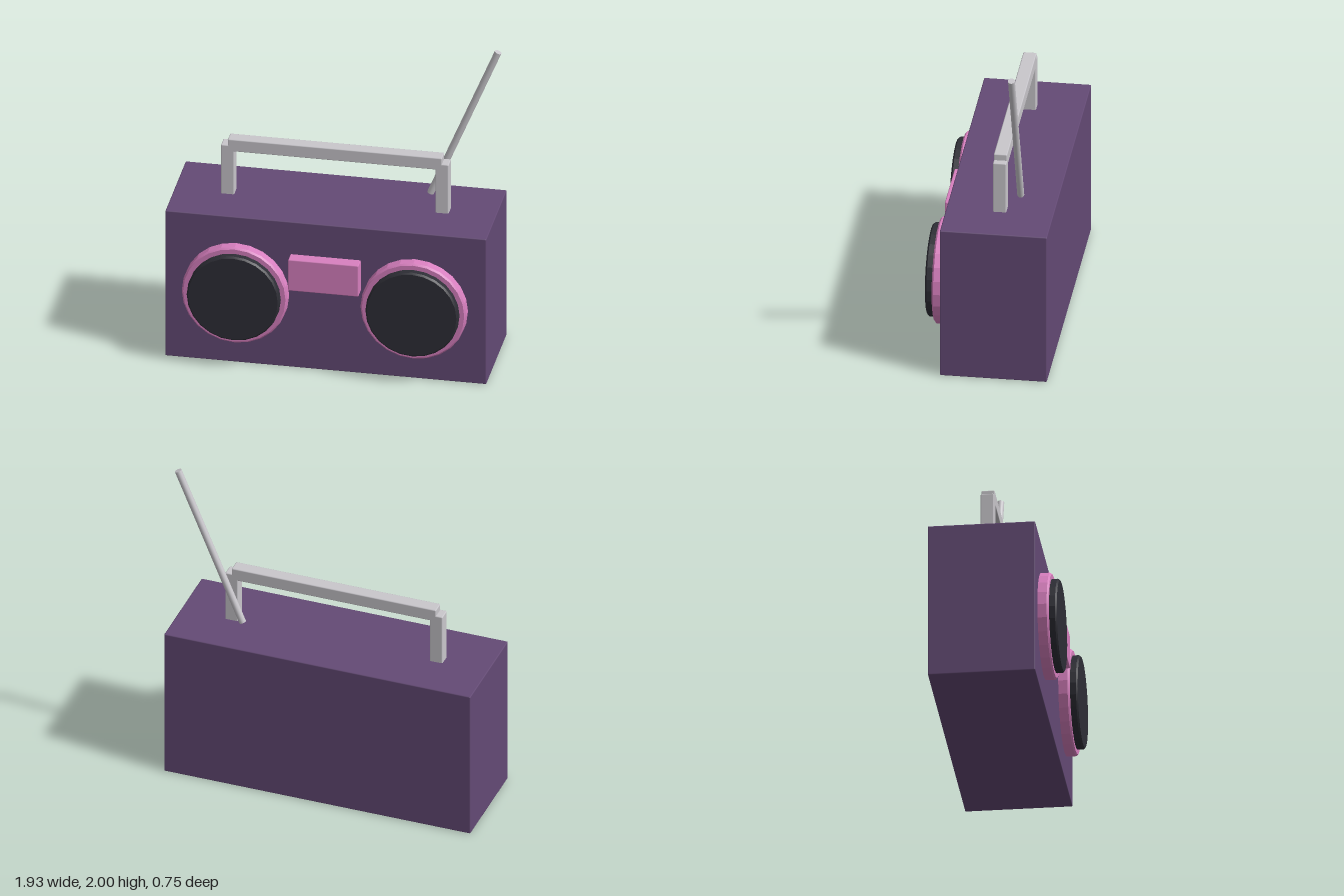
import * as THREE from 'three';
import { toCreasedNormals } from 'three/addons/utils/BufferGeometryUtils.js';
import { RoundedBoxGeometry } from 'three/addons/geometries/RoundedBoxGeometry.js';

const material = (name, color) => {
  const m = new THREE.MeshStandardMaterial({ color });
  m.name = name;
  return m;
};

export function createModel() {
  const purple = material('purple casing', 0x644a75);
  const pink = material('pink trim', 0xd980c0);
  const black = material('black speaker cone', 0x2e2e36);
  const grey = material('grey metal', 0xc9c7cc);

  const model = new THREE.Group();
  model.name = 'radio';

  const add = (name, geometry, mat, parent = model) => {
    const mesh = new THREE.Mesh(geometry, mat);
    mesh.name = name;
    parent.add(mesh);
    return mesh;
  };

  // Softened box given by its min and max corners
  const box = (name, [x0, y0, z0], [x1, y1, z1], mat, parent) => {
    const g = new RoundedBoxGeometry(x1 - x0, y1 - y0, z1 - z0, 1, 0.007);
    g.translate((x0 + x1) / 2, (y0 + y1) / 2, (z0 + z1) / 2);
    return add(name, g, mat, parent);
  };

  // Disc with a chamfered rim, facing +z
  const disc = (name, radius, z0, z1, mat, parent) => {
    const c = 0.01;
    const profile = [[0, z0], [radius - c, z0], [radius, z0 + c],
      [radius, z1 - c], [radius - c, z1], [0, z1]].map(p => new THREE.Vector2(...p));
    const g = new THREE.LatheGeometry(profile, 24).rotateX(Math.PI / 2);
    return add(name, toCreasedNormals(g, 0.2), mat, parent);
  };

  // Casing and tape door
  box('casing', [-0.97, 0, -0.372], [0.956, 0.966, 0.265], purple);
  box('tapeDoor', [-0.22, 0.545, 0.25], [0.203, 0.752, 0.338], pink);

  // Speakers
  for (const [name, x] of [['rightSpeaker', -0.543], ['leftSpeaker', 0.529]]) {
    const speaker = new THREE.Group();
    speaker.name = name;
    speaker.position.set(x, 0.476, 0);
    disc('speakerRing', 0.317, 0.25, 0.33, pink, speaker);
    disc('speakerCone', 0.279, 0.25, 0.375, black, speaker);
    model.add(speaker);
  }

  // Carrying handle
  const handle = new THREE.Group();
  handle.name = 'handle';
  model.add(handle);
  for (const [name, x] of [['rightHandlePost', -0.69], ['leftHandlePost', 0.596]]) {
    box(name, [x, 0.95, -0.092], [x + 0.08, 1.29, -0.012], grey, handle);
  }
  box('handleBar', [-0.649, 1.25, -0.092], [0.636, 1.33, -0.012], grey, handle);

  // Slanted antenna
  const start = new THREE.Vector3(0.54, 1.017, -0.16);
  const end = new THREE.Vector3(0.945, 1.993, -0.16);
  const direction = end.clone().sub(start);
  const antenna = add('antenna', new THREE.CylinderGeometry(0.021, 0.021, direction.length(), 12), grey);
  antenna.position.copy(start).add(end).multiplyScalar(0.5);
  antenna.quaternion.setFromUnitVectors(new THREE.Vector3(0, 1, 0), direction.normalize());

  return model;
}
